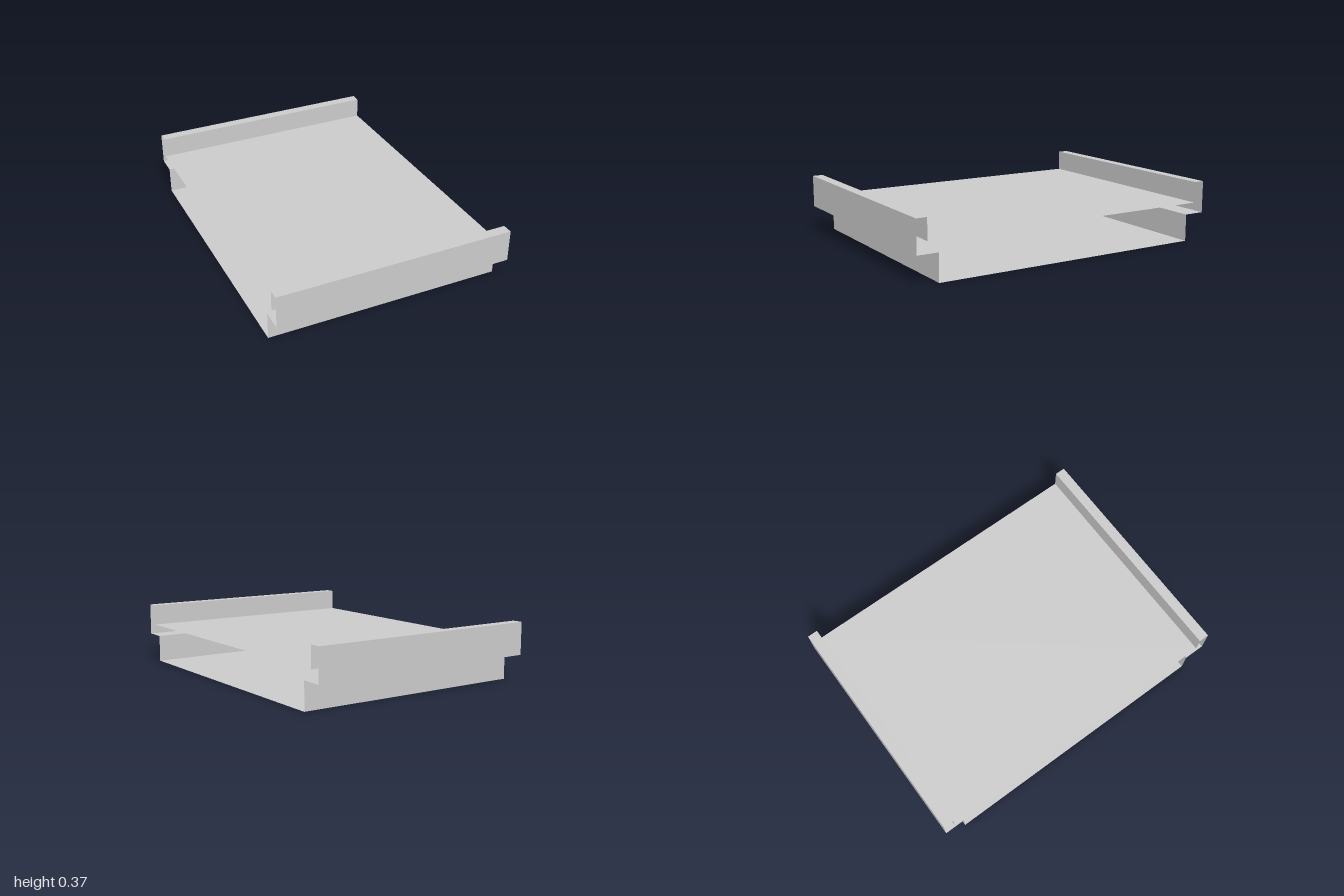
import * as THREE from 'three';

const HALF_WIDTH = 0.733;

// One thin sheet running the full width between two (z, y) profile points
function sheet(name, [z0, y0], [z1, y1], material) {
  const length = Math.hypot(z1 - z0, y1 - y0);
  const geometry = new THREE.PlaneGeometry(HALF_WIDTH * 2, length);
  geometry.rotateX(-Math.PI / 2); // lies flat, facing up, length along z
  const mesh = new THREE.Mesh(geometry, material);
  mesh.name = name;
  mesh.rotation.x = -Math.atan2(y1 - y0, z1 - z0);
  mesh.position.set(0, (y0 + y1) / 2, (z0 + z1) / 2);
  return mesh;
}

export function createModel() {
  const group = new THREE.Group();
  group.name = 'openTraySleeve';
  const material = new THREE.MeshStandardMaterial({
    color: 0xcccccc, flatShading: true, side: THREE.DoubleSide,
  });

  // Half of the folded profile as (z, y), from the bottom to the deck
  const profile = [[0.87, 0], [0.87, 0.168], [1, 0.168], [1, 0.367], [0.935, 0.367], [0.935, 0.237]];
  const names = ['LowerWall', 'Ledge', 'OuterRim', 'RimTop', 'InnerRim'];

  // Folded rims at the front and back
  for (const [side, s] of [['front', 1], ['back', -1]]) {
    names.forEach((name, i) => {
      const [a, b] = [profile[i], profile[i + 1]].map(([z, y]) => [z * s, y]);
      // keep the outward face consistent on both sides
      group.add(s > 0 ? sheet(side + name, b, a, material) : sheet(side + name, a, b, material));
    });
  }

  // Bottom sheet and raised deck; both x ends stay open
  group.add(sheet('bottom', [0.87, 0], [-0.87, 0], material));
  group.add(sheet('deck', [-0.935, 0.237], [0.935, 0.237], material));
  return group;
}
